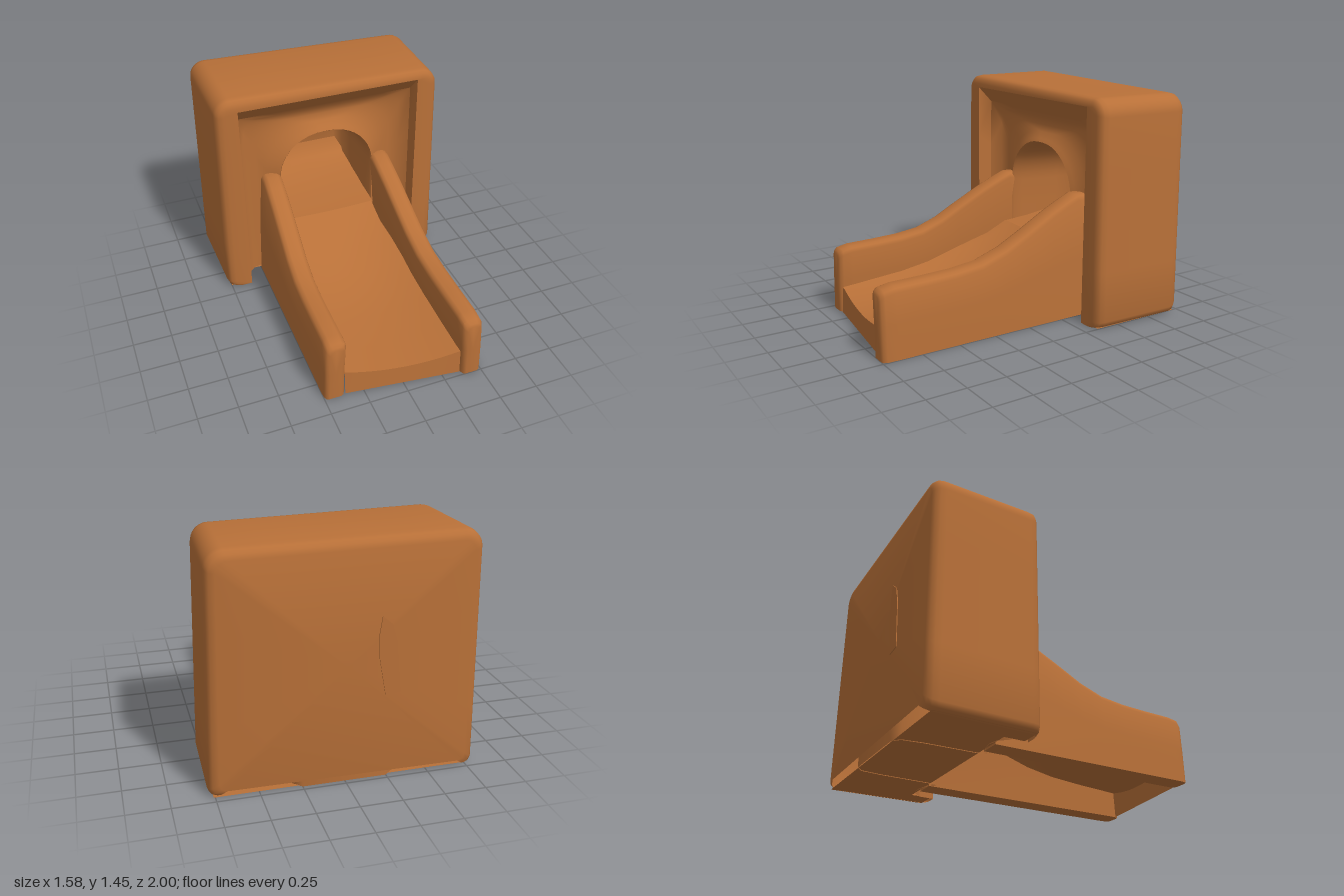
import * as THREE from 'three';
import { toCreasedNormals } from 'three/addons/utils/BufferGeometryUtils.js';

const clay = new THREE.MeshStandardMaterial({ color: 0xb87038, side: THREE.DoubleSide });
clay.name = 'terracotta orange';

// Skin a list of equally long cross-sections; optionally close the ring and cap the ends
function loft(rows, { closed = false, capStart = false, capEnd = false, crease = 0.75 } = {}) {
  const n = rows[0].length;
  const pos = rows.flat(2);
  const idx = [];
  const cols = closed ? n : n - 1;
  for (let i = 0; i < rows.length - 1; i++) {
    for (let j = 0; j < cols; j++) {
      const a = i * n + j, b = i * n + (j + 1) % n;
      idx.push(a, b, a + n, b, b + n, a + n);
    }
  }
  const cap = (row, flip) => {
    const start = row * n, c = pos.length / 3;
    const mid = [0, 1, 2].map(k => {
      const v = rows[row].map(p => p[k]);
      return (Math.min(...v) + Math.max(...v)) / 2;
    });
    pos.push(...mid);
    for (let j = 0; j < n; j++) {
      const a = start + j, b = start + (j + 1) % n;
      if (flip) idx.push(c, b, a); else idx.push(c, a, b);
    }
  };
  if (capStart) cap(0, true);
  if (capEnd) cap(rows.length - 1, false);
  const g = new THREE.BufferGeometry();
  g.setAttribute('position', new THREE.Float32BufferAttribute(pos, 3));
  g.setIndex(idx);
  return toCreasedNormals(g, crease);
}

function add(group, name, geometry) {
  const mesh = new THREE.Mesh(geometry, clay);
  mesh.name = name;
  group.add(mesh);
  return mesh;
}

// Doorway-like cross-section, from the foot at +x over the top to the foot at -x
function arch(w, h, r, z, { foot = 0, y0 = 0, warp = p => p } = {}) {
  const half = [[w - foot, y0], [w - foot * 0.3, y0 + foot * 0.3], [w, y0 + foot]];
  const low = y0 + foot, spring = h - r;
  for (let i = 1; i <= 4; i++) half.push([w, low + (spring - low) * i / 4]);
  for (let i = 1; i <= 10; i++) {
    const a = i / 10 * Math.PI / 2;
    half.push([w - r + r * Math.cos(a), spring + r * Math.sin(a)]);
  }
  for (let i = 1; i <= 3; i++) half.push([(w - r) * (1 - i / 3), h]);
  const other = half.slice(0, -1).reverse().map(([x, y]) => [-x, y]);
  return [...half, ...other].map(([x, y]) => warp([x, y, z]));
}

// Slightly crooked, tapering outer block
const crooked = ([x, y, z]) => [
  x * (1 - 0.028 * y / 1.4),
  y - x * 0.018 * y / 1.4,
  z < -0.8 ? z + (x + 0.6) * 0.016 : z,
];

function buildBlock(group) {
  const o = { foot: 0.045, warp: crooked };
  add(group, 'outerBlock', loft([
    arch(0.61, 1.37, 0.002, -0.32),
    arch(0.72, 1.385, 0.05, -0.32, o),
    arch(0.75, 1.415, 0.08, -0.328, o),
    arch(0.768, 1.432, 0.1, -0.345, o),
    arch(0.775, 1.438, 0.11, -0.38, o),
    arch(0.79, 1.438, 0.11, -0.93, o),
    arch(0.783, 1.43, 0.1, -0.965, { ...o, y0: 0.006 }),
    arch(0.765, 1.412, 0.09, -0.99, { ...o, y0: 0.02 }),
    arch(0.73, 1.38, 0.06, -1.0, { ...o, y0: 0.045 }),
  ], { capEnd: true, crease: 0.9 }));

  // Square edge of the recess
  add(group, 'recessFrame', loft([
    arch(0.61, 1.37, 0.002, -0.32),
    arch(0.605, 1.265, 0.002, -0.42),
  ]));

  // Hollowed wall that swells into the doorway lip and runs back into the tunnel
  add(group, 'recessWallAndTunnel', loft([
    arch(0.605, 1.265, 0.002, -0.42),
    arch(0.55, 1.21, 0.1, -0.475),
    arch(0.48, 1.16, 0.22, -0.49),
    arch(0.41, 1.115, 0.32, -0.475),
    arch(0.36, 1.075, 0.32, -0.44),
    arch(0.335, 1.055, 0.31, -0.425),
    arch(0.325, 1.045, 0.3, -0.44),
    arch(0.32, 1.035, 0.3, -0.5),
    arch(0.315, 1.02, 0.3, -0.8),
    arch(0.3, 1.0, 0.28, -0.93),
    arch(0.25, 0.93, 0.24, -0.97),
  ], { capEnd: true, crease: 1.2 }));

  // Underside, notched where the chute enters
  const under = new THREE.Shape([
    [-0.75, -0.34], [-0.61, -0.34], [-0.61, -0.47], [0.61, -0.47],
    [0.61, -0.34], [0.75, -0.34], [0.76, -0.96], [-0.76, -0.96],
  ].map(p => new THREE.Vector2(...p)));
  add(group, 'underside', new THREE.ShapeGeometry(under).rotateX(Math.PI / 2).translate(0, 0.004, 0));

  // Narrow sliver on the back
  const sliver = new THREE.Shape([
    [-0.19, 1.0], [-0.25, 0.95], [-0.28, 0.85], [-0.31, 0.54],
    [-0.22, 0.53], [-0.18, 0.75], [-0.175, 0.9],
  ].map(p => new THREE.Vector2(...p)));
  const plate = new THREE.ExtrudeGeometry(sliver, { depth: 0.008, bevelEnabled: false });
  add(group, 'backSliver', plate.translate(0, 0, -1.0));
}

function buildChute(group) {
  // z, centre height, half width, rise at the sides
  const profile = [
    [0.915, 0.125, 0.365, 0.045], [0.7, 0.135, 0.365, 0.05], [0.45, 0.15, 0.36, 0.055],
    [0.25, 0.18, 0.355, 0.06], [0.1, 0.225, 0.35, 0.06], [-0.05, 0.285, 0.335, 0.05],
    [-0.2, 0.36, 0.312, 0.025], [-0.35, 0.45, 0.305, 0.008],
  ];
  const steps = 12;
  const rows = profile.map(([z, y, w, rise], k) => Array.from({ length: steps + 1 }, (_, i) => {
    const u = 1 - 2 * i / steps;
    return [u * w, y + rise * u * u, z + u * 0.045 * (k === 0 ? 1 : 0)];
  }));
  add(group, 'chuteSurface', loft(rows, { crease: 1 }));
  add(group, 'chuteFront', loft([rows[0].map(([x, , z]) => [x, 0, z + 0.01]), rows[0]]));
  add(group, 'tunnelFloor', loft([
    [-0.35, 0.45], [-0.55, 0.465], [-0.78, 0.5], [-0.92, 0.55], [-0.965, 0.66],
  ].map(([z, y]) => [[0.318, y, z], [0, y, z], [-0.318, y, z]]), { crease: 1 }));
}

// Side rail: thick wall with rounded top that leans inwards as it rises
function buildRail(group, name, side, frontZ) {
  // z, height, inset for the rounded front end
  const profile = [
    [1.0, 0.39, 0.03], [0.992, 0.405, 0.012], [0.97, 0.42, 0.002], [0.9, 0.433, 0],
    [0.7, 0.437, 0], [0.5, 0.445, 0], [0.32, 0.466, 0], [0.15, 0.523, 0],
    [0, 0.597, 0], [-0.2, 0.702, 0], [-0.32, 0.757, 0], [-0.4, 0.79, 0], [-0.46, 0.79, 0],
  ];
  const rows = profile.map(([z, h, inset]) => {
    const a = 0.5 - inset, b = 0.367 + inset;
    const ring = [
      [a, 0], [a, h * 0.5], [a, h - 0.035], [a - 0.01, h - 0.01], [a - 0.032, h],
      [b + 0.032, h], [b + 0.01, h - 0.01], [b, h - 0.035], [b, h * 0.5], [b, 0],
    ];
    const zz = z > 0 ? z * frontZ : z;
    return ring.map(([x, y]) => [side * (x - 0.045 * (y / 0.79) ** 1.5), y, zz]);
  });
  if (side < 0) rows.forEach(r => r.reverse());
  add(group, name, loft(rows, { closed: true, capStart: true, capEnd: true, crease: 0.9 }));
}

export function createModel() {
  const model = new THREE.Group();
  model.name = 'slideWithArchway';
  const block = new THREE.Group();
  block.name = 'archwayBlock';
  buildBlock(block);
  const slide = new THREE.Group();
  slide.name = 'slide';
  buildChute(slide);
  buildRail(slide, 'leftRail', 1, 1.0);
  buildRail(slide, 'rightRail', -1, 0.89);
  model.add(block, slide);
  return model;
}
